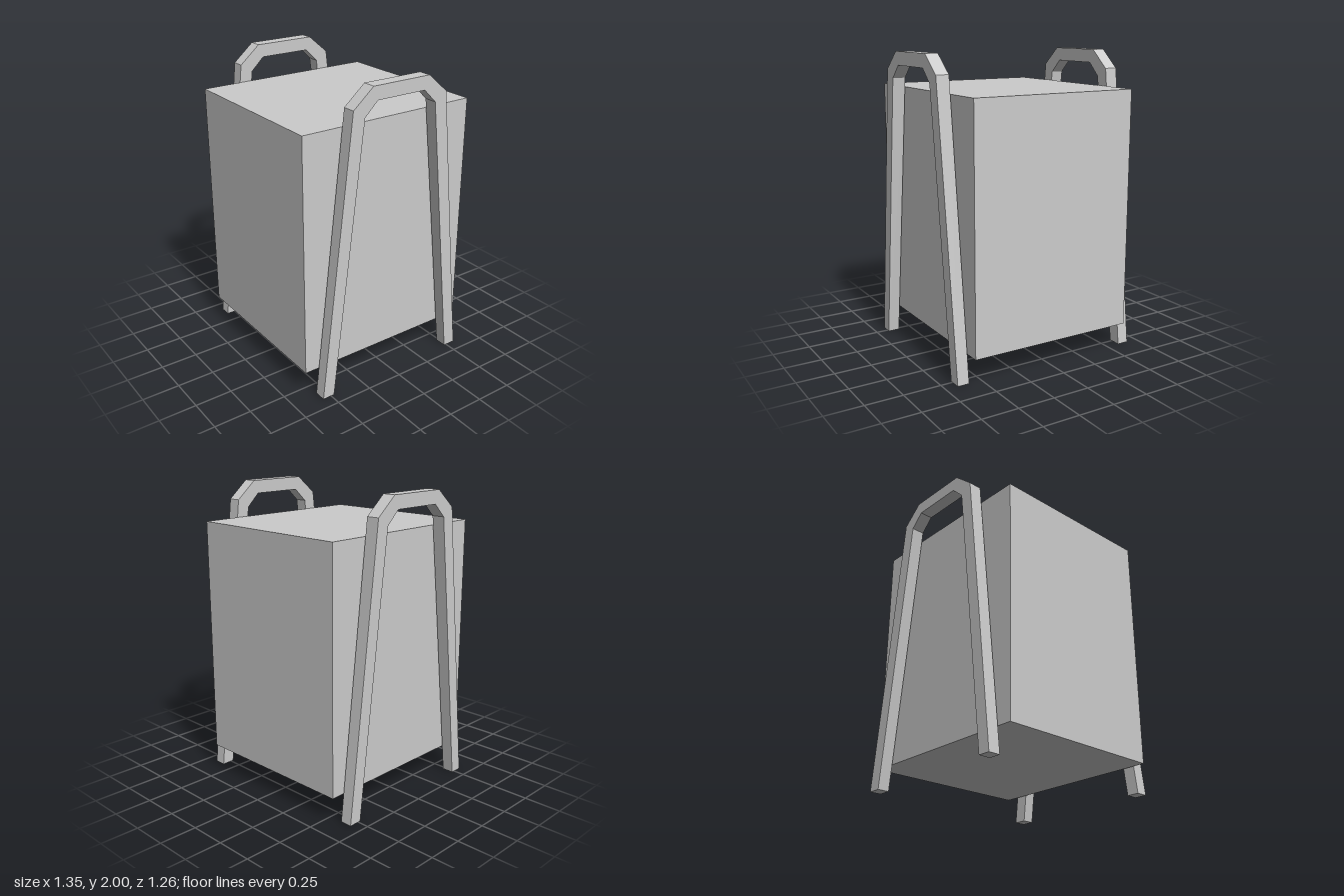
import * as THREE from 'three';

const material = new THREE.MeshStandardMaterial({ color: 0xcccccc, flatShading: true });

// Bent-bar side frame, drawn in the z/y plane and extruded across x
function sideFrame(name, x) {
  const outline = [
    [0.56, 0], [0.347, 1.88], [0.206, 2], [-0.214, 2], [-0.354, 1.88], [-0.57, 0],
    [-0.483, 0], [-0.269, 1.825], [-0.18, 1.912], [0.173, 1.912], [0.263, 1.825], [0.477, 0],
  ];
  const shape = new THREE.Shape(outline.map(([z, y]) => new THREE.Vector2(-z, y)));
  const geometry = new THREE.ExtrudeGeometry(shape, { depth: 1, bevelEnabled: false });
  geometry.translate(0, 0, -0.5).rotateY(Math.PI / 2);

  // The bar narrows slightly towards the feet
  const p = geometry.attributes.position;
  for (let i = 0; i < p.count; i++) p.setX(i, p.getX(i) * (0.079 + 0.0045 * p.getY(i)));
  geometry.computeVertexNormals();

  const mesh = new THREE.Mesh(geometry, material);
  mesh.name = name;
  mesh.position.x = x;
  return mesh;
}

export function createModel() {
  const group = new THREE.Group();
  group.name = 'framedBox';

  // Plain box held between the two frames
  const body = new THREE.Mesh(new THREE.BoxGeometry(1.157, 1.588, 1.264), material);
  body.name = 'body';
  body.position.set(-0.002, 0.97, -0.001);
  group.add(body);

  group.add(sideFrame('leftFrame', 0.629), sideFrame('rightFrame', -0.632));
  return group;
}
